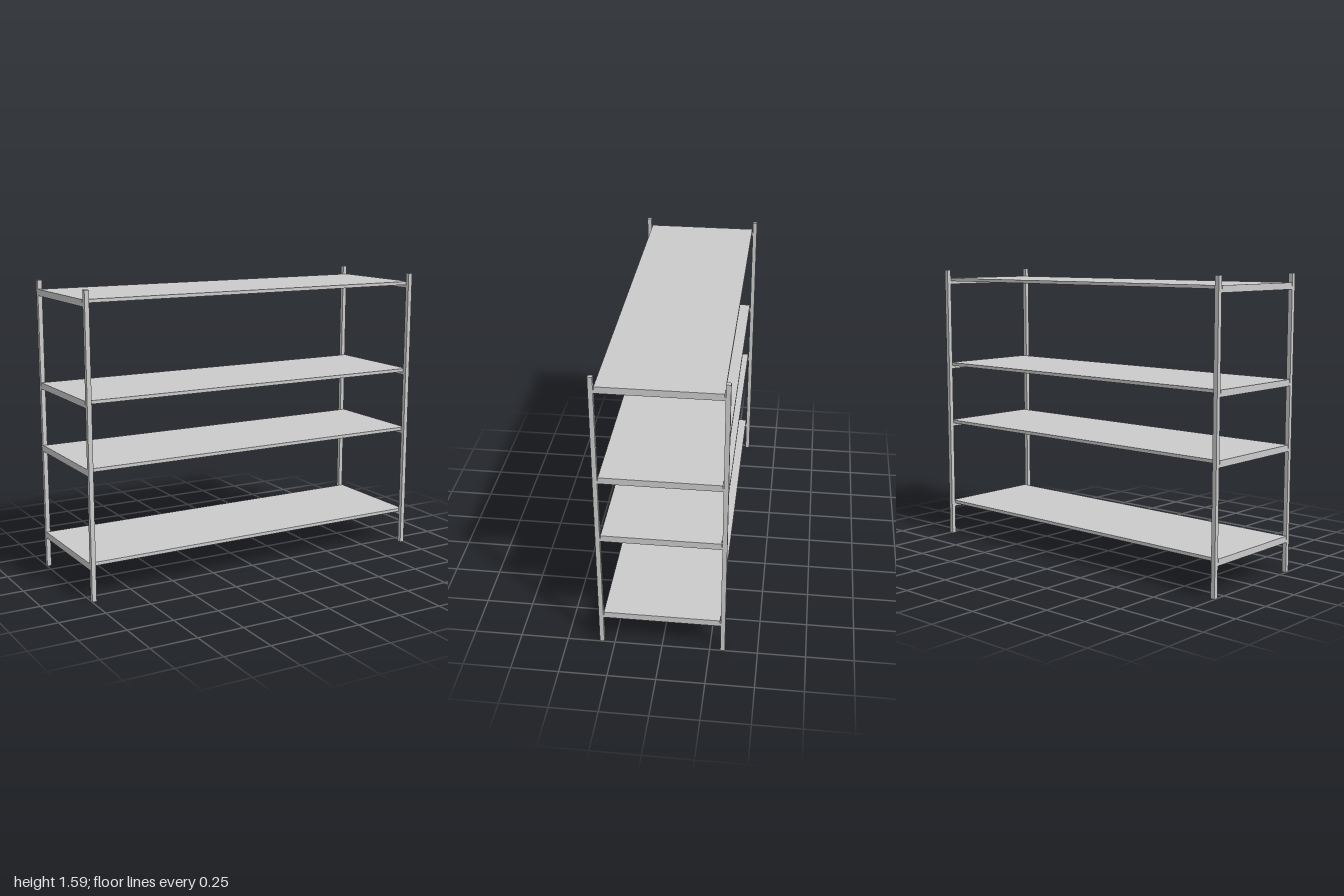
import * as THREE from 'three';

const HEIGHT = 1.59, POST = 0.024, POST_Z = 0.318;
const SHELF_TOPS = [0.2, 0.693, 1.04, 1.542];
const SHELF_THICK = 0.018, RAIL_HEIGHT = 0.017;

export function createModel() {
  const group = new THREE.Group();
  const material = new THREE.MeshStandardMaterial({ color: 0xcccccc, flatShading: true });

  const addBox = (name, w, h, d, x, y, z) => {
    const mesh = new THREE.Mesh(new THREE.BoxGeometry(w, h, d), material);
    mesh.name = name;
    mesh.position.set(x, y, z);
    group.add(mesh);
  };

  const postX = 1 - POST / 2;
  const railLength = 2 * (POST_Z - POST / 2);

  // Four square corner posts
  for (const [xName, sx] of [['Left', 1], ['Right', -1]])
    for (const [zName, sz] of [['front', 1], ['back', -1]])
      addBox(`${zName}${xName}Post`, POST, HEIGHT, POST, sx * postX, HEIGHT / 2, sz * POST_Z);

  // Shelf boards, each resting on a rail between the posts at both ends
  SHELF_TOPS.forEach((top, i) => {
    const under = top - SHELF_THICK;
    addBox(`shelf${i + 1}`, 2, SHELF_THICK, 0.604, 0, top - SHELF_THICK / 2, 0);
    for (const [xName, sx] of [['left', 1], ['right', -1]])
      addBox(`${xName}Rail${i + 1}`, POST, RAIL_HEIGHT, railLength, sx * postX, under - RAIL_HEIGHT / 2, 0);
  });

  return group;
}
